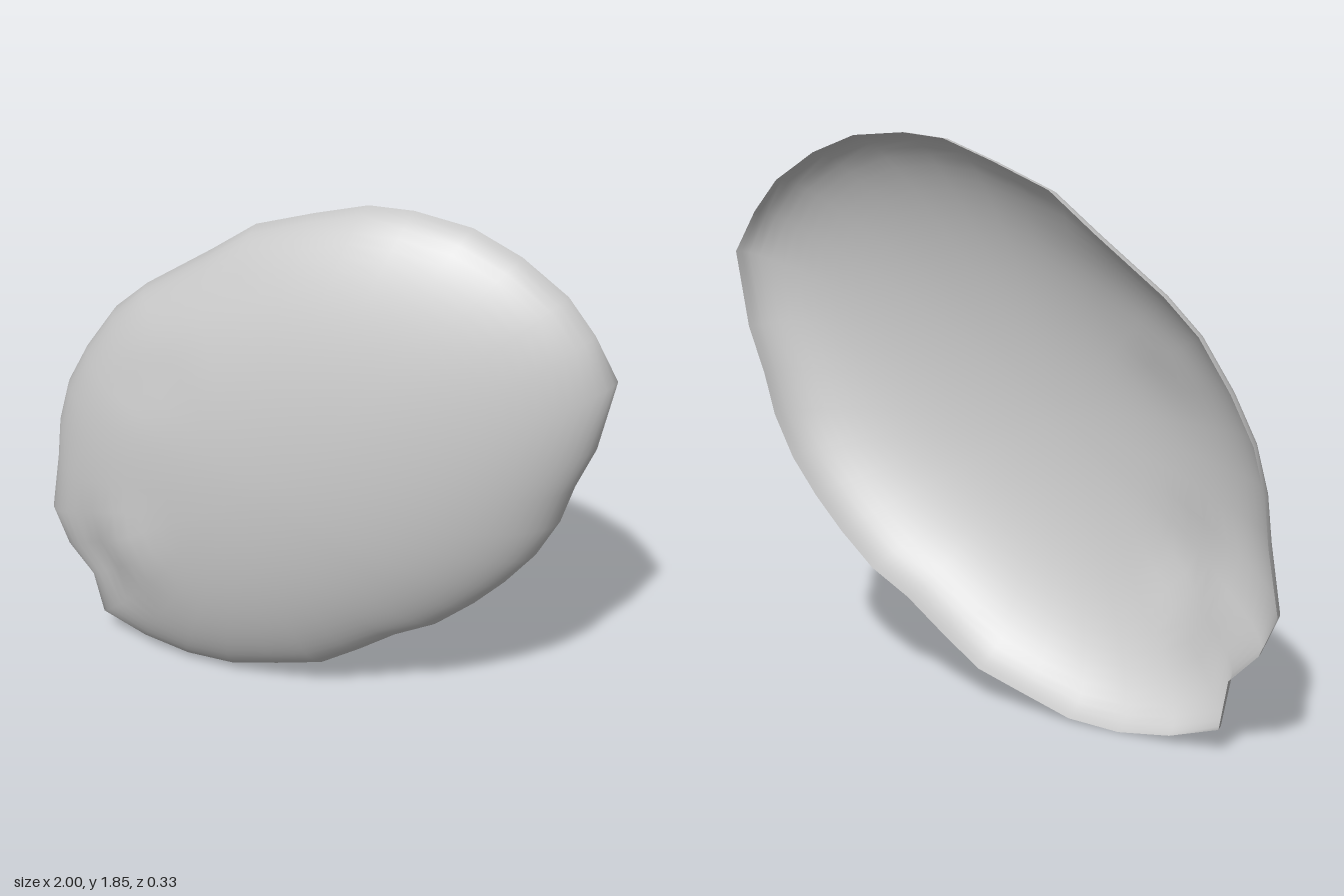
import * as THREE from 'three';

// Rim of the shell, counter-clockwise as seen from the front
const RIM = [
  [-1, 0.48], [-0.94, 0.35], [-0.84, 0.25], [-0.81, 0.085], [-0.64, 0.03], [-0.46, 0.005],
  [-0.28, 0.015], [-0.1, 0.07], [0.06, 0.12], [0.2, 0.22], [0.33, 0.32], [0.47, 0.4], [0.59, 0.51],
  [0.69, 0.62], [0.78, 0.74], [0.85, 0.88], [0.89, 1.02], [0.95, 1.17], [1, 1.42], [0.92, 1.56],
  [0.83, 1.67], [0.68, 1.77], [0.52, 1.835], [0.33, 1.855], [0.18, 1.845], [0, 1.785],
  [-0.2, 1.71], [-0.36, 1.59], [-0.6, 1.42], [-0.72, 1.31], [-0.83, 1.15], [-0.91, 1],
  [-0.95, 0.85], [-0.965, 0.7],
];
const CENTRE = [-0.05, 0.93];
const RINGS = 20;

// Shallow dents and bumps: x, y, radius, height
const DENTS = [
  [-0.72, 0.4, 0.09, -0.035], [-0.57, 0.55, 0.12, 0.02],
  [-0.27, 1.57, 0.09, -0.02], [-0.5, 1.18, 0.1, -0.012], [-0.9, 0.5, 0.08, 0.015],
];

function relief(x, y) {
  return DENTS.reduce((sum, [dx, dy, r, h]) =>
    sum + h * Math.exp(-((x - dx) ** 2 + (y - dy) ** 2) / (r * r)), 0);
}

function shellGeometry() {
  const n = RIM.length;
  // Softened rim, so notches fade towards the middle
  const soft = RIM.map((_, i) => [0, 1].map((k) => {
    let sum = 0;
    for (let d = -2; d <= 2; d++) sum += RIM[(i + d + n) % n][k];
    return sum / 5;
  }));
  const positions = [...CENTRE, 0.165];
  const index = [];
  for (let r = 1; r <= RINGS; r++) {
    const angle = (r / RINGS) * Math.PI / 2;
    const s = Math.sin(angle);
    const sharp = s ** 6;
    for (let i = 0; i < n; i++) {
      const [x, y] = [0, 1].map((k) =>
        CENTRE[k] + s * (THREE.MathUtils.lerp(soft[i][k], RIM[i][k], sharp) - CENTRE[k]));
      const rimZ = -0.153 + 0.008 * Math.cos(Math.PI * y / 0.92);
      const z = rimZ + (0.165 - rimZ) * Math.cos(angle) + relief(x, y) * (1 - s ** 12);
      positions.push(x, y, z);
      const j = (i + 1) % n;
      const a = 1 + (r - 1) * n;
      const b = a - n;
      if (r === 1) index.push(0, a + i, a + j);
      else index.push(b + i, a + i, a + j, b + i, a + j, b + j);
    }
  }
  const geometry = new THREE.BufferGeometry();
  geometry.setAttribute('position', new THREE.Float32BufferAttribute(positions, 3));
  geometry.setIndex(index);
  geometry.computeVertexNormals();
  return geometry;
}

export function createModel() {
  const group = new THREE.Group();
  // Thin open shell, hollow at the back
  const shell = new THREE.Mesh(
    shellGeometry(),
    new THREE.MeshStandardMaterial({ color: 0xcccccc, side: THREE.DoubleSide }),
  );
  shell.name = 'shell';
  group.add(shell);
  return group;
}
